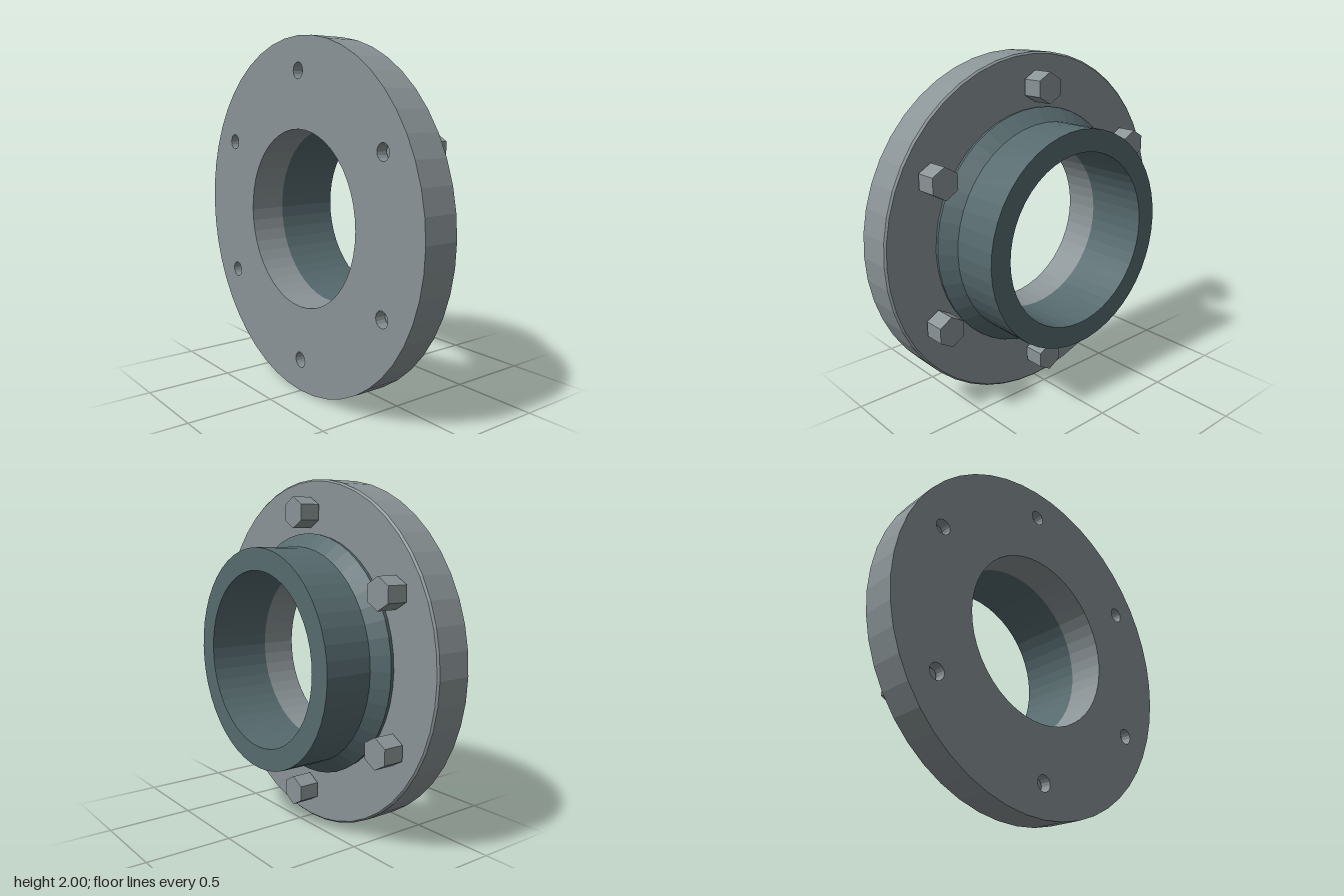
import * as THREE from 'three';

const SEG = 48;
const BOLTS = 6, BOLT_CIRCLE = 0.815, HOLE_R = 0.045;
const BACK = -0.295, FACE = -0.083, TIP = 0.295, BORE = 0.5;

const steel = new THREE.MeshStandardMaterial({ color: 0x8a9396, flatShading: true });
steel.name = 'grey steel';
const pipe = new THREE.MeshStandardMaterial({ color: 0x566a6e, flatShading: true });
pipe.name = 'dark teal steel';

function circlePoints(radius, count, cx = 0, cy = 0) {
  return Array.from({ length: count }, (_, i) => {
    const a = (i / count) * Math.PI * 2;
    return new THREE.Vector2(cx + radius * Math.cos(a), cy + radius * Math.sin(a));
  });
}

// Bolt centres in the flange plane, first one at the top
const boltCentres = Array.from({ length: BOLTS }, (_, i) => {
  const a = Math.PI / 2 + (i / BOLTS) * Math.PI * 2;
  return [BOLT_CIRCLE * Math.cos(a), BOLT_CIRCLE * Math.sin(a)];
});

function addMesh(parent, name, geometry, material) {
  const mesh = new THREE.Mesh(geometry, material);
  mesh.name = name;
  parent.add(mesh);
  return mesh;
}

// Drilled disc with a small chamfer around the front rim
function flangeGeometry() {
  const depth = FACE - BACK, chamfer = 0.01;
  const shape = new THREE.Shape(circlePoints(1, SEG));
  shape.holes.push(new THREE.Path(circlePoints(BORE, SEG)));
  for (const [x, y] of boltCentres) {
    shape.holes.push(new THREE.Path(circlePoints(HOLE_R, 16, x, y)));
  }
  const geo = new THREE.ExtrudeGeometry(shape, { depth, steps: 2, bevelEnabled: false });
  const p = geo.attributes.position;
  for (let i = 0; i < p.count; i++) {
    const z = p.getZ(i);
    if (Math.abs(z - depth / 2) < 1e-4) p.setZ(i, depth - chamfer);
    else if (z > depth / 2 && Math.hypot(p.getX(i), p.getY(i)) > 0.99) {
      p.setXY(i, p.getX(i) * (1 - chamfer), p.getY(i) * (1 - chamfer));
    }
  }
  geo.rotateY(Math.PI / 2).translate(BACK, 0, 0);
  geo.computeVertexNormals();
  return geo;
}

// Cylinder lying along x between two positions
function rod(radius, x0, x1, sides) {
  return new THREE.CylinderGeometry(radius, radius, x1 - x0, sides, 1, false, Math.PI / 2)
    .rotateZ(-Math.PI / 2).translate((x0 + x1) / 2, 0, 0);
}

export function createModel() {
  const model = new THREE.Group();
  model.name = 'pipeFlange';

  const assembly = new THREE.Group();
  assembly.name = 'flangeAssembly';
  assembly.position.y = 1;
  model.add(assembly);

  addMesh(assembly, 'flange', flangeGeometry(), steel);

  // Neck: collar, cone and pipe stub with an open bore
  const profile = [
    [0.695, FACE], [0.7, -0.06], [0.625, 0.015], [0.625, TIP], [BORE, TIP], [BORE, FACE],
  ].map(([r, x]) => new THREE.Vector2(r, x));
  addMesh(assembly, 'neck', new THREE.LatheGeometry(profile, SEG).rotateZ(-Math.PI / 2), pipe);

  // Hex bolts
  const headGeo = rod(0.087, -0.073, 0.05, 6);
  const shankGeo = rod(0.038, -0.24, -0.073, 16);
  boltCentres.forEach(([z, y], i) => {
    const bolt = new THREE.Group();
    bolt.name = `bolt${i + 1}`;
    bolt.position.set(0, y, -z);
    addMesh(bolt, 'boltHead', headGeo, steel);
    addMesh(bolt, 'boltShank', shankGeo, steel);
    assembly.add(bolt);
  });

  return model;
}
